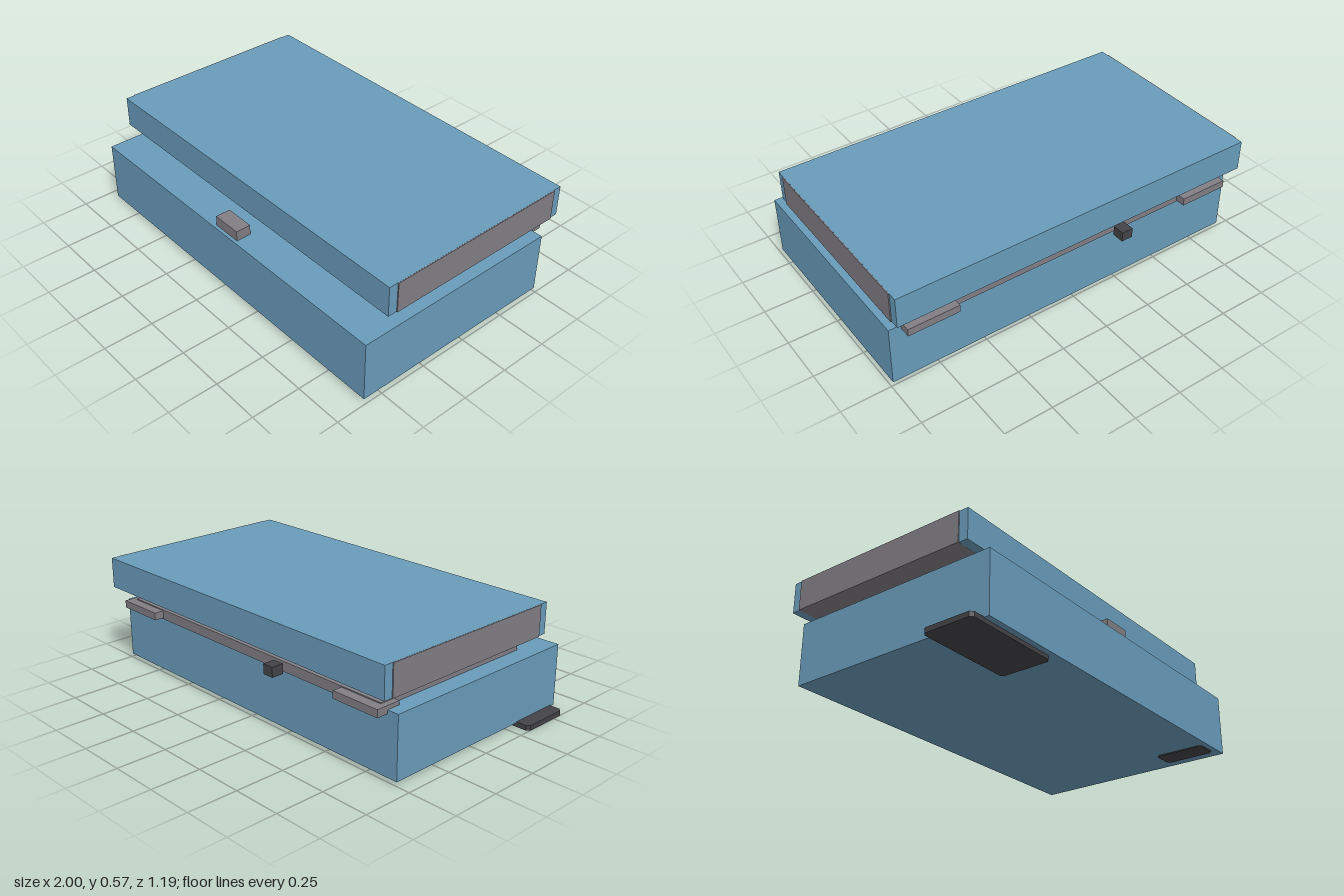
import * as THREE from 'three';

export function createModel() {
  const model = new THREE.Group();
  const mat = (name, color) => new THREE.MeshStandardMaterial({ name, color });
  const blue = mat('blue shell', 0x699cbb);
  const grey = mat('grey fittings', 0x817e84);
  const black = mat('black rubber', 0x444347);

  const add = (name, geometry, material) => {
    const mesh = new THREE.Mesh(geometry, material);
    mesh.name = name;
    model.add(mesh);
    return mesh;
  };

  // Box given by its limits on each axis
  const block = (name, material, [x0, x1], [y0, y1], [z0, z1]) => {
    add(name, new THREE.BoxGeometry(x1 - x0, y1 - y0, z1 - z0), material)
      .position.set((x0 + x1) / 2, (y0 + y1) / 2, (z0 + z1) / 2);
  };

  // Flat pad with clipped corners
  const pad = (name, [x0, x1], [y0, y1], [z0, z1], c) => {
    const shape = new THREE.Shape([
      [x0 + c, -z1], [x1 - c, -z1], [x1, -z1 + c], [x1, -z0 - c],
      [x1 - c, -z0], [x0 + c, -z0], [x0, -z0 - c], [x0, -z1 + c],
    ].map(([x, y]) => new THREE.Vector2(x, y)));
    const geometry = new THREE.ExtrudeGeometry(shape, { depth: y1 - y0, bevelEnabled: false });
    geometry.rotateX(-Math.PI / 2).translate(0, y0, 0);
    add(name, geometry, black);
  };

  // Lower case and raised lid
  block('base', blue, [-0.93, 0.99], [0.02, 0.33], [-0.5, 0.594]);
  block('lid', blue, [-0.93, 0.99], [0.415, 0.57], [-0.585, 0.474]);

  // Lid end blocks, just proud of the sides
  block('lidEndLeft', grey, [0.77, 0.995], [0.4145, 0.5695], [-0.54, 0.427]);
  block('lidEndRight', grey, [-0.935, -0.71], [0.4145, 0.5695], [-0.54, 0.427]);

  // Inner plate on the base, hinge blocks and rear stop
  block('innerPlate', grey, [-0.84, 0.9], [0.305, 0.355], [-0.51, 0.395]);
  block('hingeLeft', grey, [0.67, 0.93], [0.312, 0.35], [-0.56, -0.43]);
  block('hingeRight', grey, [-0.87, -0.61], [0.312, 0.35], [-0.56, -0.43]);
  block('rearStop', black, [-0.26, -0.2], [0.305, 0.355], [-0.592, -0.53]);

  // Front latch
  block('latch', grey, [-0.045, 0.11], [0.33, 0.382], [0.5, 0.577]);

  // Feet
  pad('footRight', [-1, -0.485], [0, 0.025], [0.305, 0.565], 0.015);
  pad('footLeft', [0.81, 0.93], [0.015, 0.025], [0.305, 0.565], 0.015);
  return model;
}
